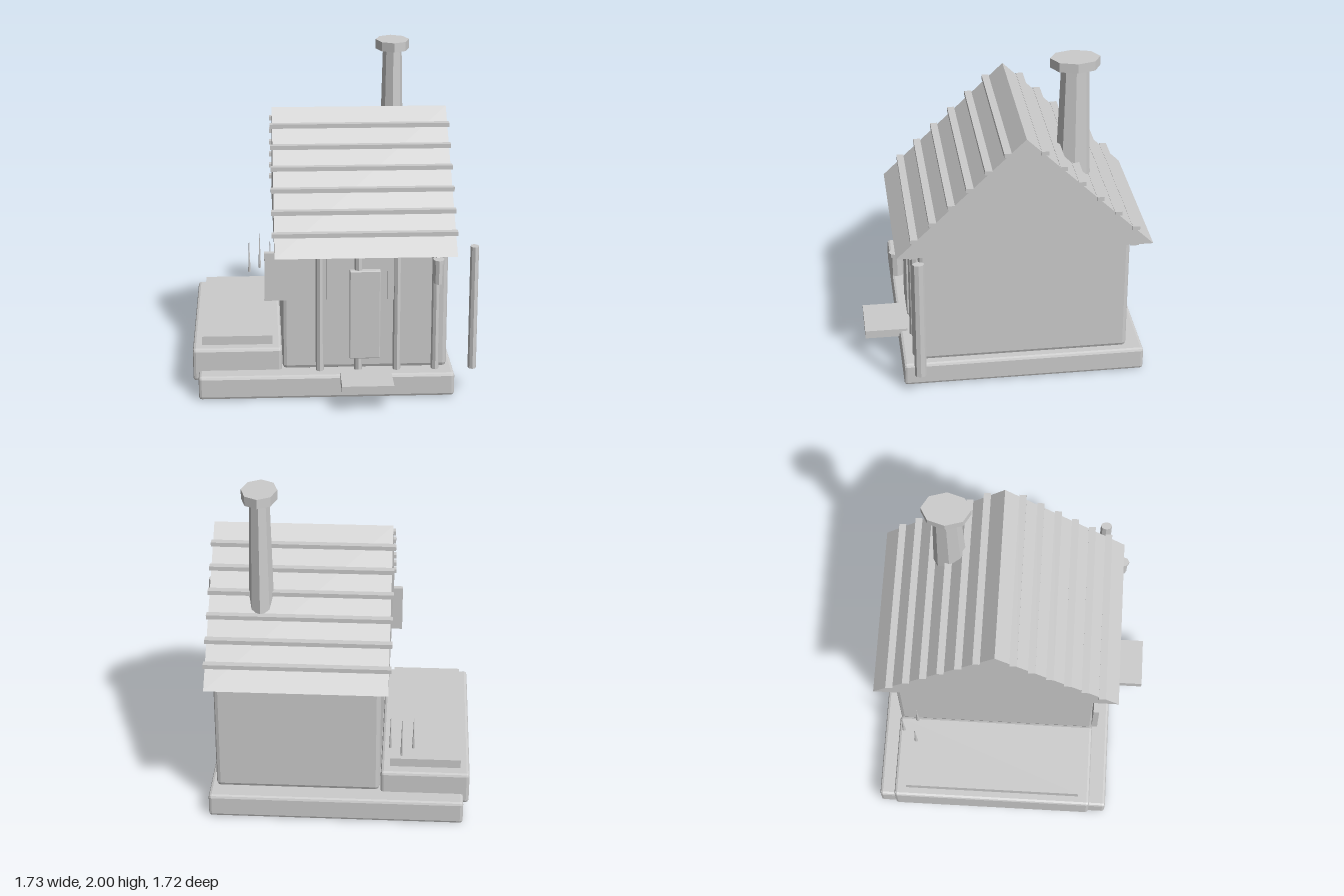
import * as THREE from 'three';
import { RoundedBoxGeometry } from 'three/addons/geometries/RoundedBoxGeometry.js';

export function createModel() {
  const model = new THREE.Group();
  model.name = 'cottage';
  const plain = new THREE.MeshStandardMaterial({ color: 0xcccccc, flatShading: true });
  plain.name = 'plainGrey';

  function add(name, geometry, x = 0, y = 0, z = 0) {
    const mesh = new THREE.Mesh(geometry, plain);
    mesh.name = name;
    mesh.position.set(x, y, z);
    model.add(mesh);
    return mesh;
  }
  // Box from its limits, chamfered when bevel > 0
  function block(name, x0, x1, y0, y1, z0, z1, bevel = 0) {
    const size = [x1 - x0, y1 - y0, z1 - z0];
    const geometry = bevel ? new RoundedBoxGeometry(...size, 1, bevel) : new THREE.BoxGeometry(...size);
    return add(name, geometry, (x0 + x1) / 2, (y0 + y1) / 2, (z0 + z1) / 2);
  }
  // Eight-sided column, deeper in z than in x
  function column(name, x, z, y0, y1, rBottom, rTop = rBottom) {
    const geometry = new THREE.CylinderGeometry(rTop, rBottom, y1 - y0, 8);
    geometry.scale(0.72, 1, 1);
    return add(name, geometry, x, (y0 + y1) / 2, z);
  }

  // Foundation, step and house body
  block('foundation', -0.83, 0.72, 0, 0.147, -0.835, 0.65, 0.018);
  block('doorStep', 0.025, 0.335, 0.11, 0.162, 0.6, 0.865);
  block('houseBody', -0.32, 0.68, 0.15, 0.905, -0.73, 0.545, 0.025);

  // Raised garden bed on the right side, with three shoots
  block('gardenBed', -0.865, -0.325, 0.08, 0.285, -0.73, 0.54, 0.018);
  block('bedSoil', -0.81, -0.38, 0.27, 0.34, -0.655, 0.465);
  for (const [x, z, top] of [[-0.52, -0.605, 0.6], [-0.45, -0.69, 0.63], [-0.38, -0.605, 0.6]]) {
    column('shoot', x, z, 0.39, top, 0.012, 0.002);
  }

  // Front posts, door and shutters
  for (let i = 0; i < 4; i++) {
    column('frontPost', -0.095 + i * 0.234, 0.555, 0.15, 0.885, 0.034);
  }
  block('door', 0.085, 0.27, 0.23, 0.79, 0.55, 0.595, 0.006);
  block('rightShutter', -0.425, -0.17, 0.6, 0.9, 0.525, 0.56);
  block('middlePanel', -0.055, 0.2, 0.6, 0.9, 0.525, 0.556);
  block('leftShutter', 0.315, 0.47, 0.6, 0.9, 0.525, 0.57);

  // Gabled roof
  const ridgeZ = -0.09, ridgeY = 1.64, eaveY = 0.9, halfSpan = 0.77;
  const gable = new THREE.Shape([
    new THREE.Vector2(-halfSpan, eaveY),
    new THREE.Vector2(halfSpan, eaveY),
    new THREE.Vector2(0, ridgeY),
  ]);
  const roof = new THREE.ExtrudeGeometry(gable, { depth: 1.085, bevelEnabled: false });
  roof.rotateY(Math.PI / 2);
  add('roof', roof, -0.365, 0, ridgeZ);

  // Roof slats and eave beams on both slopes
  for (const side of [-1, 1]) {
    for (let i = 0; i < 6; i++) {
      const z = ridgeZ + side * (0.109 + i * 0.1105);
      const y = 1.547 - i * 0.1065;
      block('roofSlat', -0.38, 0.73, y - 0.013, y + 0.013, z - 0.022, z + 0.022);
    }
    const beamZ = ridgeZ + side * 0.665;
    block('eaveBeam', -0.34, 0.69, 0.875, 0.901, beamZ - 0.025, beamZ + 0.025);
  }

  // Chimney
  column('chimneyShaft', 0.41, -0.415, 1.1, 1.95, 0.11, 0.083);
  column('chimneyCap', 0.41, -0.415, 1.942, 2, 0.148);

  // Lantern hanging on a short bracket
  column('lanternBody', 0.607, 0.668, 0.735, 0.865, 0.038);
  column('lanternCap', 0.607, 0.668, 0.862, 0.885, 0.048);
  const bracket = add('lanternBracket', new THREE.BoxGeometry(0.02, 0.014, 0.09), 0.607, 0.868, 0.61);
  bracket.rotation.x = -0.5;

  // Free-standing pole beside the house
  column('sidePole', 0.835, 0.558, 0.15, 0.927, 0.036);

  return model;
}
